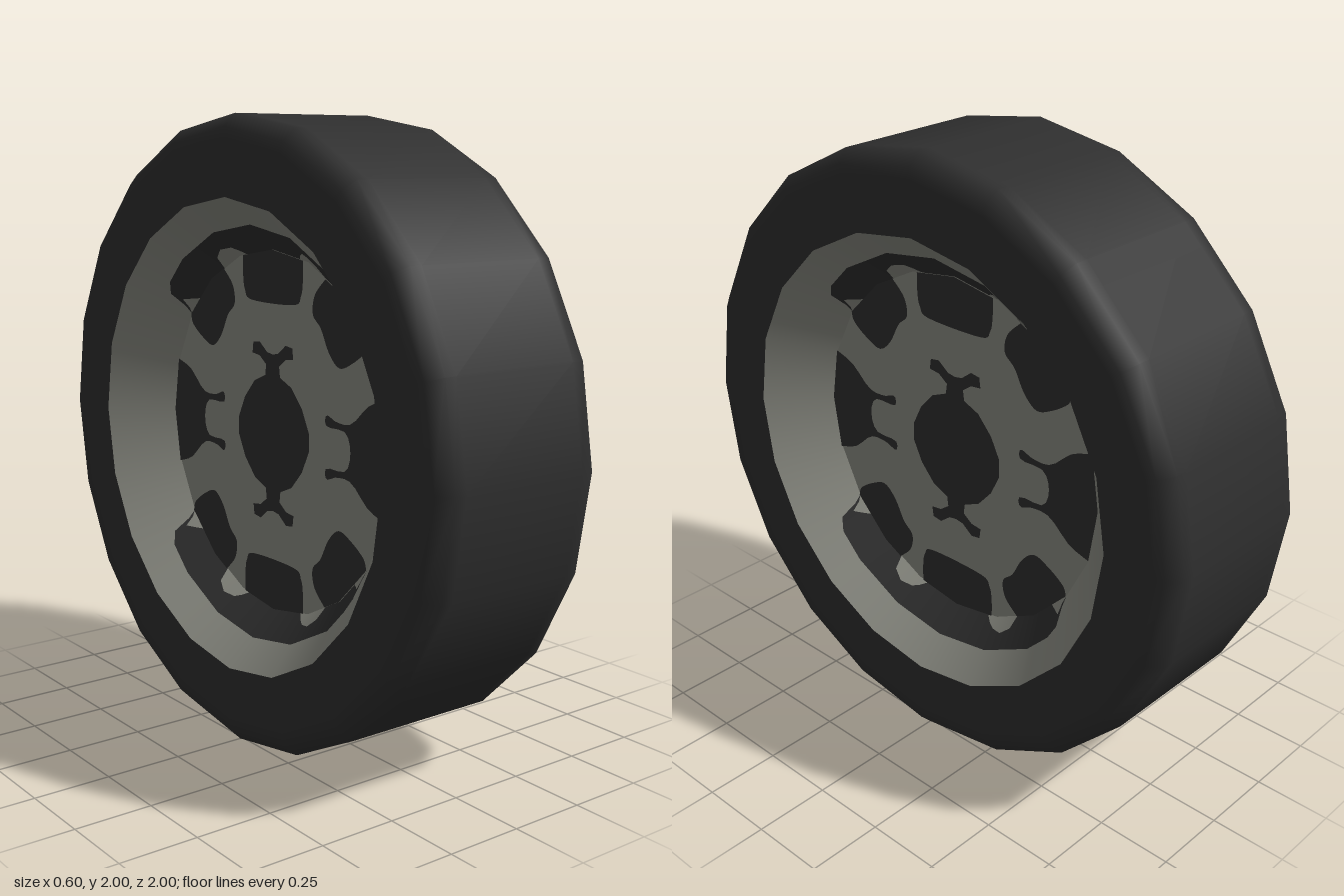
import * as THREE from 'three';

const SIDES = 20, STEP = 18;
const R_IN = 0.585, R_OUT = 0.75;   // rim cone radii
const Z_IN = 0.12, Z_OUT = 0.3;     // disc depth and sidewall depth

const rad = (d) => d * Math.PI / 180;

// Distance from the axis to a 20-sided outline, angle in degrees from the top
function polyRadius(R, deg) {
  const m = ((deg % STEP) + STEP) % STEP;
  return R * Math.cos(rad(STEP / 2)) / Math.cos(rad(m - STEP / 2));
}
function edge(deg, R = R_IN) {
  const r = polyRadius(R, deg);
  return new THREE.Vector2(r * Math.sin(rad(deg)), r * Math.cos(rad(deg)));
}

// Band of the rim cone between two radius rules
function coneBand(inner, outer) {
  const pos = [], nor = [], idx = [], n = 180;
  const slope = (Z_OUT - Z_IN) / (R_OUT - R_IN), len = Math.hypot(slope, 1);
  for (let i = 0; i <= n; i++) {
    const a = i * 360 / n, half = a % 180;
    const t = Math.min(half, 180 - half);
    for (const R of [inner(t), outer(t)]) {
      const p = edge(a, R);
      pos.push(p.x, p.y, Z_IN + (R - R_IN) * slope);
      nor.push(-Math.sin(rad(a)) * slope / len, -Math.cos(rad(a)) * slope / len, 1 / len);
    }
    if (i < n) {
      const k = i * 2;
      idx.push(k, k + 2, k + 3, k, k + 3, k + 1);
    }
  }
  const g = new THREE.BufferGeometry();
  g.setAttribute('position', new THREE.Float32BufferAttribute(pos, 3));
  g.setAttribute('normal', new THREE.Float32BufferAttribute(nor, 3));
  g.setIndex(idx);
  return g;
}

// Piecewise-linear rule through [angle, radius] pairs
const rule = (pts) => (t) => {
  for (let i = 1; i < pts.length; i++) {
    const [a, r] = pts[i - 1], [b, s] = pts[i];
    if (t <= b) return r + (s - r) * (t - a) / (b - a);
  }
  return pts[pts.length - 1][1];
};

// Closed outline: straight run along the disc edge, then a smooth inner curve
function windowShape(edgeAngles, inner, mu, mv) {
  const arc = edgeAngles.map((d) => edge(d));
  const curve = new THREE.SplineCurve(
    [arc[arc.length - 1], ...inner.map(([u, v]) => new THREE.Vector2(u, v)), arc[0]]);
  const pts = [...arc, ...curve.getPoints(40).slice(1, -1)];
  return new THREE.Shape(pts.map((p) => new THREE.Vector2(p.x * mu, p.y * mv)));
}

export function createModel() {
  const rubber = new THREE.MeshStandardMaterial({ color: 0x2f2f2f });
  rubber.name = 'dark rubber';
  const metal = new THREE.MeshStandardMaterial({ color: 0x8e8f86 });
  metal.name = 'pale grey metal';

  const model = new THREE.Group();
  model.name = 'wheel';
  const add = (parent, name, geo, mat) => {
    const m = new THREE.Mesh(geo, mat);
    m.name = name;
    parent.add(m);
    return m;
  };

  // Tyre with bevelled shoulders
  const half = [[1, 0.22], [1, 0.26], [0.96, 0.3], [0.92, 0.3], [R_OUT, Z_OUT]];
  const profile = [
    ...half.map(([r, x]) => new THREE.Vector2(r, -x)).reverse(),
    ...half.map(([r, x]) => new THREE.Vector2(r, x)),
  ];
  const tyre = add(model, 'tyre', new THREE.LatheGeometry(profile, SIDES), rubber);
  tyre.rotation.z = -Math.PI / 2;
  tyre.position.y = 1;

  // Rim cone: pale spoke ends, dark crescents, pale outer lip
  const spokeEnd = rule([[0, R_IN], [14, R_IN], [17, 0.61], [22, 0.625], [26, 0.615],
    [28, R_IN], [46, R_IN], [50, 0.62], [53, R_IN], [90, R_IN]]);
  const crescent = rule([[0, 0.665], [46, 0.665], [50, 0.65], [53, R_IN], [90, R_IN]]);

  // Disc paintwork
  const shapes = [];
  for (const s of [1, -1]) {
    shapes.push(['verticalWindow', windowShape([-16, 0, 16],
      [[0.16, 0.5], [0.15, 0.45], [0.11, 0.42], [-0.11, 0.42], [-0.15, 0.45], [-0.16, 0.5]], 1, s)]);
    shapes.push(['sideWindow', windowShape([72, 90, 108],
      [[0.48, -0.155], [0.4, -0.09], [0.33, -0.085], [0.28, -0.1], [0.28, -0.065], [0.37, -0.06],
        [0.395, 0], [0.37, 0.06], [0.28, 0.065], [0.28, 0.1], [0.33, 0.085], [0.4, 0.09],
        [0.48, 0.155]], s, 1)]);
    for (const t of [1, -1]) {
      shapes.push(['diagonalWindow', windowShape([28, 36, 54],
        [[0.46, 0.31], [0.4, 0.27], [0.34, 0.25], [0.29, 0.29], [0.25, 0.36], [0.21, 0.4],
          [0.22, 0.46]], s, t)]);
    }
  }
  // Hub opening with a hooked bar above and below
  const quarter = [[0, 0.255], [0.03, 0.26], [0.07, 0.29], [0.105, 0.285], [0.11, 0.25],
    [0.07, 0.245], [0.035, 0.22], [0.04, 0.185], [0.1, 0.16], [0.155, 0.1], [0.19, 0.03]];
  const right = [...quarter, ...quarter.map(([u, v]) => [u, -v]).reverse()];
  const hub = [...right, ...right.slice(1, -1).map(([u, v]) => [-u, v]).reverse()];
  shapes.push(['hubOpening', new THREE.Shape(hub.map(([u, v]) => new THREE.Vector2(u, v)))]);

  const discShape = new THREE.Shape(
    Array.from({ length: SIDES }, (_, i) => edge(i * STEP)));

  // The same face on both sides
  for (const s of [1, -1]) {
    const face = new THREE.Group();
    face.name = s > 0 ? 'leftFace' : 'rightFace';
    face.rotation.y = s * Math.PI / 2;
    face.position.y = 1;
    model.add(face);
    add(face, 'spokeEnds', coneBand(() => R_IN, spokeEnd), metal);
    add(face, 'rimCrescents', coneBand(spokeEnd, crescent), rubber);
    add(face, 'rimLip', coneBand(crescent, () => R_OUT), metal);
    add(face, 'spokeDisc', new THREE.ShapeGeometry(discShape), metal).position.z = Z_IN;
    for (const [name, shape] of shapes) {
      add(face, name, new THREE.ShapeGeometry(shape), rubber).position.z = Z_IN + 0.004;
    }
  }
  return model;
}
